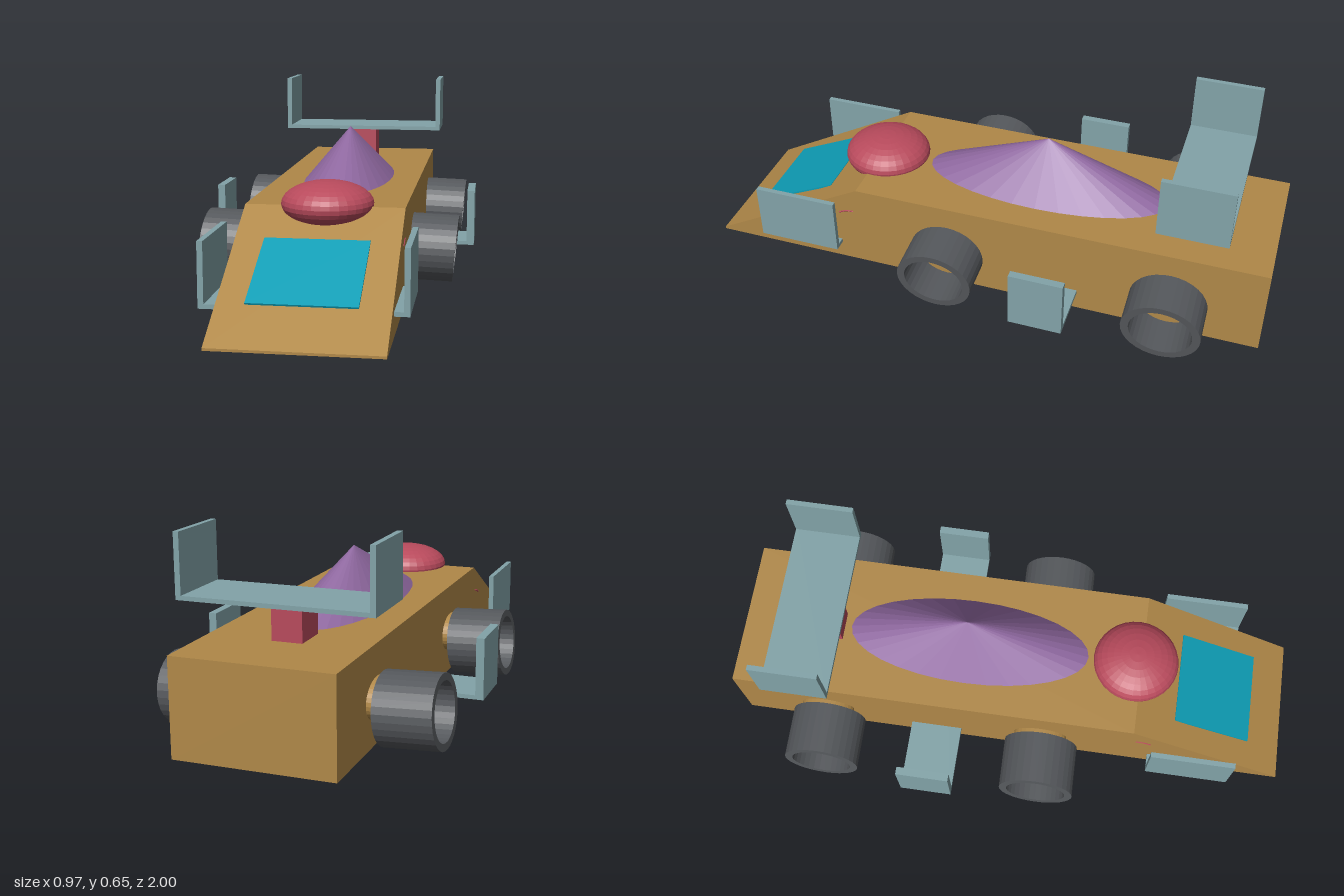
import * as THREE from 'three';

const MID = 0.022; // centre line of the car body

function material(color, flat = true) {
  return new THREE.MeshStandardMaterial({ color, flatShading: flat });
}

const wood = material(0xb08848);
const rubber = material(0x55585c);
const wing = material(0x82a3a8);
const purple = material(0x8f68a0);
const red = material(0xb84a5c);
const glass = material(0x0e9db5);

export function createModel() {
  const car = new THREE.Group();
  car.name = 'raceCar';

  function add(name, geometry, mat, parent = car) {
    const mesh = new THREE.Mesh(geometry, mat);
    mesh.name = name;
    parent.add(mesh);
    return mesh;
  }

  // Box given by its limits on each axis
  function box(name, [x0, x1], [y0, y1], [z0, z1], mat, parent) {
    const mesh = add(name, new THREE.BoxGeometry(x1 - x0, y1 - y0, z1 - z0), mat, parent);
    mesh.position.set((x0 + x1) / 2, (y0 + y1) / 2, (z0 + z1) / 2);
    return mesh;
  }

  // Wedge-nosed body: side profile (z, y) extruded across the width
  const profile = new THREE.Shape();
  profile.moveTo(-1, 0);
  profile.lineTo(1, 0);
  profile.lineTo(1, 0.008);
  profile.lineTo(0.44, 0.315);
  profile.lineTo(-1, 0.315);
  const bodyGeometry = new THREE.ExtrudeGeometry(profile, { depth: 0.519, bevelEnabled: false });
  bodyGeometry.rotateY(-Math.PI / 2);
  add('body', bodyGeometry, wood).position.x = 0.282;

  // Cone cover and rounded cockpit dome
  const cone = add('coneCover', new THREE.ConeGeometry(1, 0.188, 32), purple);
  cone.scale.set(0.159, 1, 0.432);
  cone.position.set(MID, 0.409, -0.184);

  const dome = add('cockpitDome', new THREE.SphereGeometry(1, 32, 16), red);
  dome.scale.set(0.15, 0.074, 0.152);
  dome.position.set(0.029, 0.321, 0.418);

  // Panel on the sloping nose
  const panel = add('nosePanel', new THREE.BoxGeometry(0.332, 0.006, 0.314), glass);
  panel.position.set(MID, 0.169, 0.727);
  panel.rotation.x = Math.atan2(0.132, 0.285);

  // U-shaped wings: floor plate with an upright at each end
  function addWing(name, [x0, x1], [y0, y1], zRange, thickness) {
    const group = new THREE.Group();
    group.name = name;
    car.add(group);
    box('wingPlate', [x0, x1], [y0, y0 + 0.014], zRange, wing, group);
    box('rightEndPlate', [x0, x0 + thickness], [y0, y1], zRange, wing, group);
    box('leftEndPlate', [x1 - thickness, x1], [y0, y1], zRange, wing, group);
  }
  addWing('frontWing', [-0.3, 0.329], [0.065, 0.269], [0.51, 0.808], 0.018);
  addWing('middleWing', [-0.488, 0.485], [0.065, 0.269], [-0.37, -0.185], 0.027);
  addWing('rearWing', [-0.3, 0.329], [0.441, 0.647], [-0.858, -0.624], 0.018);
  box('rearWingPost', [-0.034, 0.066], [0.31, 0.445], [-0.76, -0.64], red);

  // Hollow wheel, slightly oval and leaning, shared by all four corners
  const ring = [[0.8, -0.5], [1, -0.5], [1, 0.5], [0.8, 0.5], [0.8, -0.5]];
  const wheelGeometry = new THREE.LatheGeometry(ring.map(p => new THREE.Vector2(...p)), 32);
  wheelGeometry.applyMatrix4(new THREE.Matrix4().makeBasis(
    new THREE.Vector3(0.01, 0.115, 0),
    new THREE.Vector3(0.183, -0.007, -0.004),
    new THREE.Vector3(0, 0, -0.133)
  ));

  for (const [end, z] of [['front', 0.111], ['rear', -0.677]]) {
    add(end + 'RightWheel', wheelGeometry, rubber).position.set(-0.356, 0.118, z + 0.008);
    add(end + 'LeftWheel', wheelGeometry, rubber).position.set(0.338, 0.118, z - 0.008);

    // Axle through the body
    const axle = add(end + 'Axle', new THREE.CylinderGeometry(1, 1, 0.6, 32), wood);
    axle.geometry.rotateZ(Math.PI / 2);
    axle.scale.set(1, 0.066, 0.095);
    axle.position.set(0.005, 0.147, z);
  }

  // Thin curved trim just showing on both flanks
  for (const [name, x] of [['rightTrim', -0.237], ['leftTrim', 0.282]]) {
    const arc = new THREE.CatmullRomCurve3([
      new THREE.Vector3(x, 0.205, 0.51),
      new THREE.Vector3(x, 0.216, 0.485),
      new THREE.Vector3(x, 0.22, 0.455)
    ]);
    add(name, new THREE.TubeGeometry(arc, 8, 0.003, 6), red);
  }

  return car;
}
